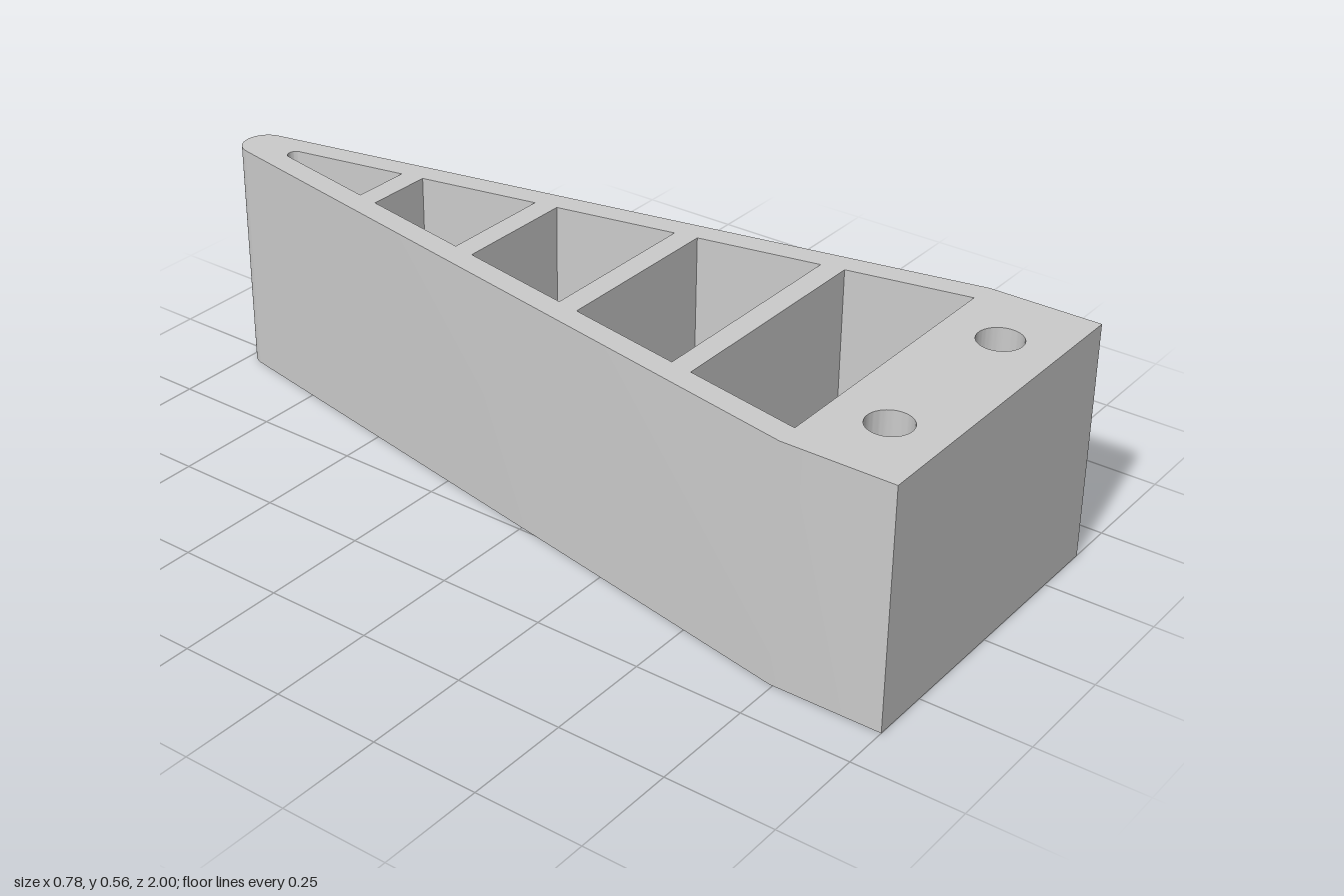
import * as THREE from 'three';
import { toCreasedNormals } from 'three/addons/utils/BufferGeometryUtils.js';

const HEIGHT = 0.556;
const SLOPE = 0.197;                 // sideways run of the tapered walls per unit of z
const TAPER = Math.atan(SLOPE);
const innerX = (z) => 0.186 + SLOPE * z; // half width between the walls

// Plan shapes use y = -z; the extrusion is then laid flat.
function roundedEnd(path, z, radius) {
  path.absarc(0, -z, radius, TAPER, Math.PI - TAPER, false);
}

function bodyOutline() {
  const s = new THREE.Shape();
  s.moveTo(-0.389, -1);
  s.lineTo(0.389, -1);
  s.lineTo(0.389, -0.742);
  roundedEnd(s, -0.945, 0.055);
  s.lineTo(-0.389, -0.742);
  s.closePath();
  return s;
}

// Opening between two cross ribs; the last one ends in a rounded point
function bayHole(zFront, zBack) {
  const p = new THREE.Path();
  p.moveTo(-innerX(zFront), -zFront);
  p.lineTo(innerX(zFront), -zFront);
  if (zBack === undefined) {
    roundedEnd(p, -0.852, 0.018);
  } else {
    p.lineTo(innerX(zBack), -zBack);
    p.lineTo(-innerX(zBack), -zBack);
  }
  p.closePath();
  return p;
}

export function createModel() {
  const group = new THREE.Group();
  group.name = 'taperedBracket';
  const shape = bodyOutline();

  // Five bays separated by four ribs
  for (let i = 0; i < 5; i++) {
    const z = 0.738 - 0.332 * i;
    shape.holes.push(bayHole(z, i < 4 ? z - 0.279 : undefined));
  }

  // Two mounting holes through the solid base
  for (const side of [-1, 1]) {
    const hole = new THREE.Path();
    hole.absarc(side * 0.208, -0.87, 0.05, 0, Math.PI * 2, false);
    shape.holes.push(hole);
  }

  const extruded = new THREE.ExtrudeGeometry(shape, { depth: HEIGHT, bevelEnabled: false, curveSegments: 32 });
  extruded.rotateX(-Math.PI / 2);
  const body = new THREE.Mesh(
    toCreasedNormals(extruded, 0.3),
    new THREE.MeshStandardMaterial({ color: 0xcccccc })
  );
  body.name = 'ribbedBody';
  group.add(body);
  return group;
}
